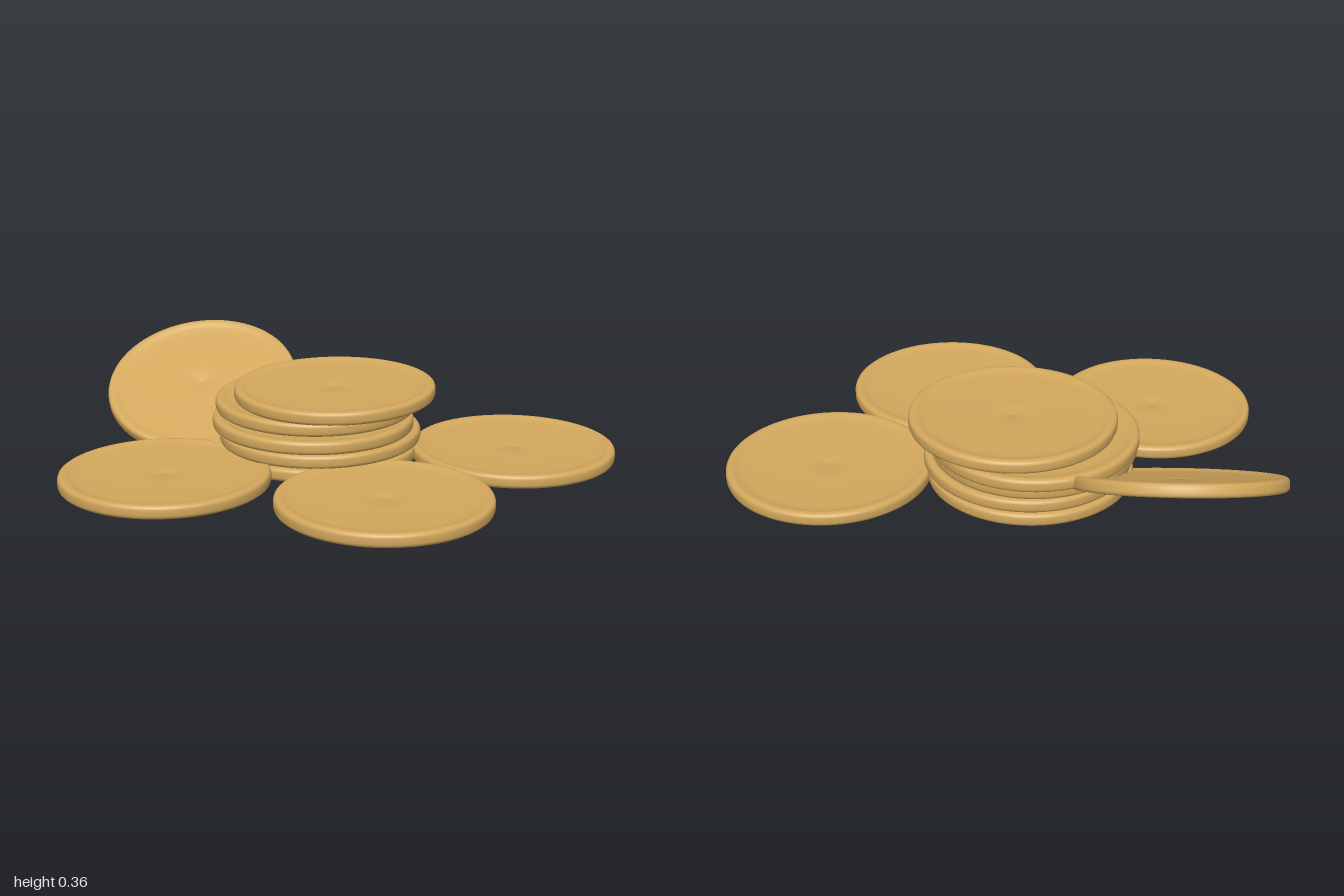
import * as THREE from 'three';

export function createModel() {
  const group = new THREE.Group();
  const gold = new THREE.MeshStandardMaterial({ color: 0xd2a75c });
  gold.name = 'gold';

  // Half profile of a coin: pin hole, shallow dish, raised rim, rounded edge
  const upper = [
    [0.366, 0.010], [0.363, 0.018], [0.357, 0.0225], [0.348, 0.024], [0.338, 0.023],
    [0.328, 0.019], [0.316, 0.016], [0.29, 0.0135], [0.2, 0.011], [0.1, 0.010], [0.004, 0.010],
  ];
  const lower = upper.map(([r, y]) => [r, -y]).reverse();
  const profile = [...lower, ...upper].map(([r, y]) => new THREE.Vector2(r, y));
  profile.push(profile[0].clone()); // wall of the pin hole
  const coinGeometry = new THREE.LatheGeometry(profile, 96);

  // Each coin: name, centre, and the direction its face points
  const coins = [
    ['looseCoinLeft', [0.626, 0.073, 0.06], [0, 1, 0]],
    ['looseCoinFront', [0.072, 0.073, 0.523], [0, 1, 0]],
    ['looseCoinRight', [-0.632, 0.073, 0.17], [0, 1, 0]],
    ['leaningCoin', [-0.452, 0.19, -0.56], [-0.13, 0.89, 0.43]],
    ['stackCoin1', [-0.062, 0.065, -0.122], [0, 1, 0]],
    ['stackCoin2', [-0.052, 0.118, -0.12], [-0.012, 1, 0]],
    ['stackCoin3', [-0.078, 0.168, -0.12], [0.008, 1, 0]],
    ['stackCoin4', [-0.063, 0.222, -0.17], [0, 1, 0.012]],
    ['stackCoin5', [0.002, 0.275, -0.122], [-0.015, 1, 0.012]],
  ];
  const up = new THREE.Vector3(0, 1, 0);
  for (const [name, centre, normal] of coins) {
    const coin = new THREE.Mesh(coinGeometry, gold);
    coin.name = name;
    coin.position.set(...centre);
    coin.quaternion.setFromUnitVectors(up, new THREE.Vector3(...normal).normalize());
    group.add(coin);
  }
  return group;
}
